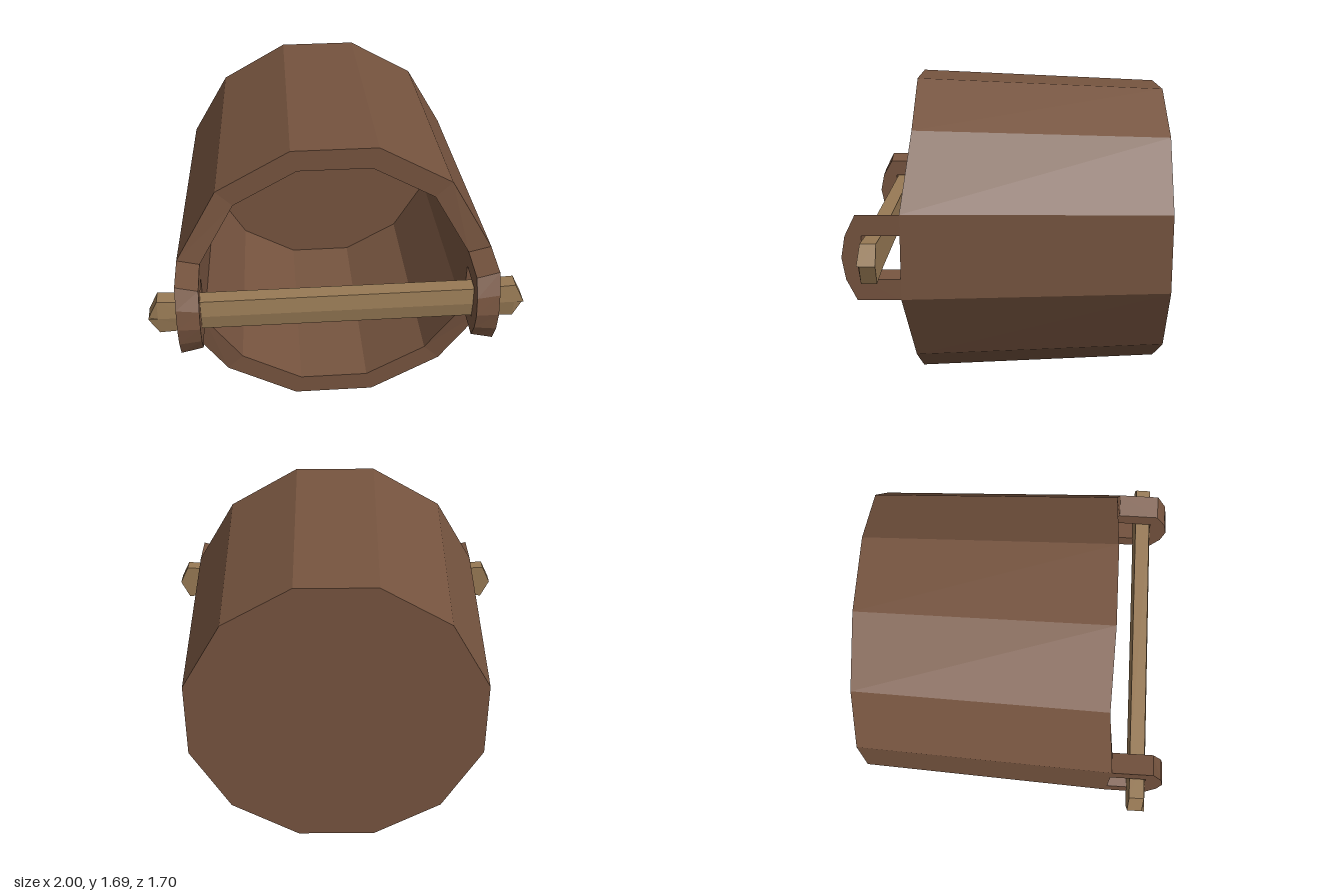
import * as THREE from 'three';

const CY = 0.845; // height of the bucket's axis
const wood = new THREE.MeshStandardMaterial({ color: 0x76543f });
wood.name = 'dark wood';
const paleWood = new THREE.MeshStandardMaterial({ color: 0x987a55 });
paleWood.name = 'pale wood';

// Faceted mesh: every face gets its own flat normal
function facetedMesh(geometry, material, name) {
  const g = geometry.index ? geometry.toNonIndexed() : geometry;
  g.computeVertexNormals();
  const mesh = new THREE.Mesh(g, material);
  mesh.name = name;
  return mesh;
}

// Apply a rule to every vertex
function moveVertices(geometry, rule) {
  const p = geometry.attributes.position;
  const v = new THREE.Vector3();
  for (let i = 0; i < p.count; i++) {
    rule(v.fromBufferAttribute(p, i));
    p.setXYZ(i, v.x, v.y, v.z);
  }
  return geometry;
}

// Twelve-sided hollow bucket lying on its side, mouth towards +z
function createBucket() {
  const profile = [
    [0, -0.85], [0.785, -0.85], [0.845, 0.5], [0.725, 0.5], [0.69, -0.7], [0, -0.7],
  ].map(([apothem, z]) => new THREE.Vector2(apothem / Math.cos(Math.PI / 12), z));
  const g = new THREE.LatheGeometry(profile, 12, Math.PI / 12);
  g.rotateX(Math.PI / 2);
  // the rim rises a little where the ears stand
  moveVertices(g, (v) => {
    if (v.z > 0.4 && Math.abs(v.x) > 0.65) v.z = 0.55;
  });
  g.translate(0, CY, 0);
  return facetedMesh(g, wood, 'bucket');
}

// Arched ear with a slot, narrowing towards the bucket's axis
function createEar(side, name) {
  const half = [[0.55, 0.226], [0.775, 0.226], [0.83, 0.115], [0.85, 0]];
  const outline = [
    ...half.map(([z, y]) => [z, -y]),
    ...half.slice(0, 3).reverse(),
    [0.55, 0.115], [0.745, 0.115], [0.745, -0.115], [0.55, -0.115],
  ];
  const shape = new THREE.Shape(outline.map(([z, y]) => new THREE.Vector2(z, y)));
  const g = new THREE.ExtrudeGeometry(shape, { depth: 0.12, bevelEnabled: false });
  g.rotateY(-Math.PI / 2);
  g.translate(side > 0 ? 0.845 : -0.725, 0, 0);
  moveVertices(g, (v) => {
    if (Math.abs(v.x) < 0.78) v.y *= 0.863;
  });
  g.translate(0, CY, 0);
  return facetedMesh(g, wood, name);
}

// Five-sided bar with wedge-shaped ends, lofted along x
function createHandle() {
  const section = [[0.752, 0], [0.738, 1], [0.657, 1], [0.657, -1], [0.738, -1]];
  const stations = [[-1, 0], [-0.95, 0.104], [-0.72, 0.09], [0.72, 0.09], [0.95, 0.104], [1, 0]];
  const positions = [];
  const index = [];
  const n = section.length;
  stations.forEach(([x, h], s) => {
    section.forEach(([z, y], i) => {
      positions.push(x, CY + y * h, z);
      if (s === 0) return;
      const a = (s - 1) * n + i;
      const b = (s - 1) * n + ((i + 1) % n);
      index.push(a, a + n, b, b, a + n, b + n);
    });
  });
  const g = new THREE.BufferGeometry();
  g.setAttribute('position', new THREE.Float32BufferAttribute(positions, 3));
  g.setIndex(index);
  return facetedMesh(g, paleWood, 'handle');
}

export function createModel() {
  const model = new THREE.Group();
  model.name = 'bucket with handle';
  model.add(createBucket(), createEar(1, 'leftEar'), createEar(-1, 'rightEar'), createHandle());
  return model;
}
